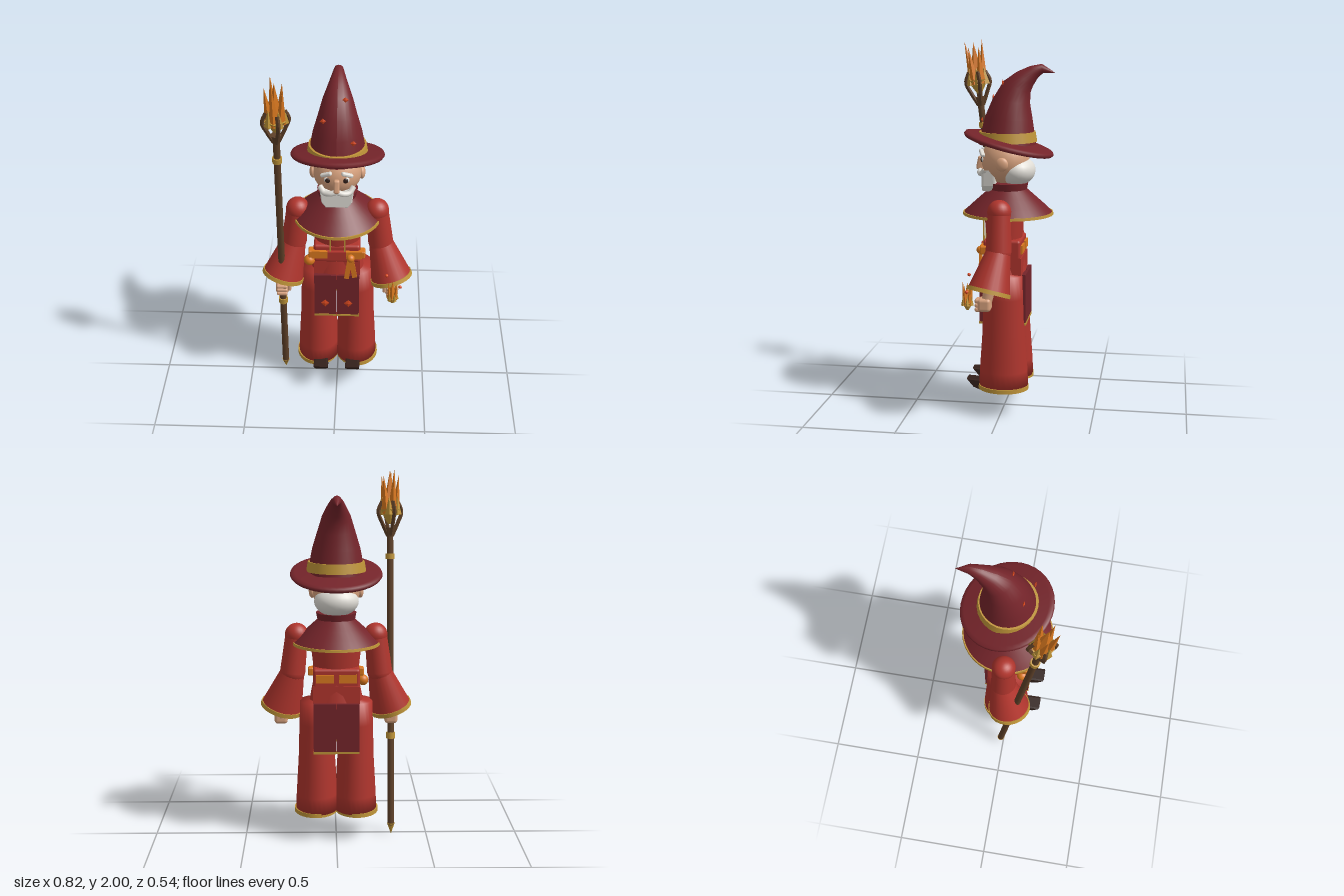
import * as THREE from 'three';
import { RoundedBoxGeometry } from 'three/addons/geometries/RoundedBoxGeometry.js';

const mat = (name, color, extra = {}) => new THREE.MeshStandardMaterial({ name, color, ...extra });
const V = (x, y, z) => new THREE.Vector3(x, y, z);

export function createModel() {
  const red = mat('robe red', 0xb0352d);
  const dark = mat('dark red', 0x74242a, { side: THREE.DoubleSide });
  const gold = mat('gold', 0xbf9438);
  const orange = mat('orange', 0xd9781f);
  const skin = mat('skin', 0xd8a27e);
  const white = mat('white hair', 0xe0ddd6);
  const wood = mat('wood', 0x5e4028);
  const boot = mat('boot brown', 0x32201a);
  const gem = mat('ember', 0xd8481f);

  const root = new THREE.Group();
  const add = (name, geo, m, pos = [0, 0, 0], rot = [0, 0, 0], scale = [1, 1, 1], parent = root) => {
    const mesh = new THREE.Mesh(geo, m);
    mesh.name = name;
    mesh.position.set(...pos);
    mesh.rotation.set(...rot);
    mesh.scale.set(...scale);
    parent.add(mesh);
    return mesh;
  };
  const box = (w, h, d) => new THREE.BoxGeometry(w, h, d);
  const cyl = (a, b, h, n = 24) => new THREE.CylinderGeometry(a, b, h, n);
  const ball = (r) => new THREE.SphereGeometry(r, 24, 16);
  const lathe = (pts, n = 32) => new THREE.LatheGeometry(pts.map(p => new THREE.Vector2(...p)), n);
  const tube = (pts, r, n = 6) => new THREE.TubeGeometry(new THREE.CatmullRomCurve3(pts), 12, r, n);
  const facet = (geo) => { const g = geo.toNonIndexed(); g.computeVertexNormals(); return g; };
  // Tapered limb from p down to q
  const limb = (name, p, q, r1, r2, m) => {
    const mesh = add(name, cyl(r1, r2, p.distanceTo(q)), m);
    mesh.position.copy(p).add(q).multiplyScalar(0.5);
    mesh.quaternion.setFromUnitVectors(V(0, 1, 0), p.clone().sub(q).normalize());
    return mesh;
  };

  // Hat crown: rings of [y, z, radius, backward lean], tip first
  const rings = [[1.84, -0.265, 0.001, 2], [1.862, -0.2, 0.024, 1.45], [1.843, -0.155, 0.037, 1.0],
    [1.808, -0.108, 0.056, 0.7], [1.765, -0.066, 0.077, 0.4], [1.69, -0.036, 0.1, 0.12],
    [1.6, -0.022, 0.127, 0.04], [1.465, -0.015, 0.153, 0]];
  const crown = new THREE.CylinderGeometry(1, 1, 1, 28, rings.length - 1, true);
  const cp = crown.attributes.position;
  for (let i = 0; i < cp.count; i++) {
    const [y, z, r, a] = rings[Math.floor(i / 29)];
    const s = cp.getX(i), c = cp.getZ(i);
    cp.setXYZ(i, r * s, y + r * c * Math.sin(a), z + r * c * Math.cos(a));
  }
  crown.computeVertexNormals();
  add('hatCrown', crown, dark);
  add('hatBrim', lathe([[0.1, -0.008], [0.22, -0.02], [0.238, -0.018], [0.245, -0.008], [0.24, 0.003],
    [0.22, 0.008], [0.12, 0.02]], 40), dark, [0, 1.473, -0.025], [-0.25, 0, 0]);
  add('hatBand', cyl(0.15, 0.159, 0.052, 28), gold, [0, 1.506, -0.015]);
  for (const [x, y, z] of [[0.04, 1.79, 0.003], [-0.07, 1.705, 0.072], [0.083, 1.6, 0.106]])
    add('hatGem', new THREE.OctahedronGeometry(0.016), gem, [x, y, z], [0, 0, 0], [1, 1, 0.35]);

  // Head
  add('head', ball(0.128), skin, [0, 1.38, -0.005], [0, 0, 0], [1, 1, 1]);
  add('backHair', ball(1), white, [0, 1.325, -0.066], [0, 0, 0], [0.118, 0.08, 0.1]);
  add('nose', new RoundedBoxGeometry(0.032, 0.075, 0.04, 2, 0.012), skin, [0, 1.36, 0.128], [-0.2, 0, 0]);
  const beard = new THREE.Shape();
  [[-0.085, 1.325], [-0.075, 1.25], [-0.055, 1.222], [0.055, 1.222], [0.075, 1.25], [0.085, 1.325], [0, 1.30]]
    .forEach(([x, y], i) => (i ? beard.lineTo(x, y) : beard.moveTo(x, y)));
  add('beard', new THREE.ExtrudeGeometry(beard, { depth: 0.05, bevelSize: 0.006, bevelThickness: 0.012, bevelSegments: 2 }),
    white, [0, 0, 0.05]);
  for (const s of [-1, 1]) {
    add('ear', ball(1), skin, [s * 0.128, 1.37, -0.005], [0, 0, 0], [0.018, 0.036, 0.034]);
    add('eye', ball(0.017), white, [s * 0.046, 1.386, 0.106], [0, 0, 0], [1.2, 1, 0.6]);
    add('pupil', ball(0.014), boot, [s * 0.045, 1.385, 0.114], [0, 0, 0], [1, 1, 0.5]);
    add('eyebrow', new RoundedBoxGeometry(0.065, 0.02, 0.024, 2, 0.008), white, [s * 0.054, 1.42, 0.112], [0, s * 0.35, -s * 0.4]);
    add('moustache', tube([V(0, 1.325, 0.128), V(s * 0.035, 1.314, 0.128), V(s * 0.065, 1.312, 0.112), V(s * 0.088, 1.338, 0.09)], 0.015, 8), white);
  }

  // Collar and shoulder cape
  add('collar', cyl(0.108, 0.098, 0.05, 28), dark, [0, 1.235, -0.02]);
  add('cape', lathe([[0.236, 1.1], [0.2, 1.135], [0.15, 1.18], [0.1, 1.225]], 36), dark, [0, 0, -0.02], [0, 0, 0], [0.98, 1, 1.01]);
  add('capeTrim', cyl(0.239, 0.241, 0.014, 36), gold, [0, 1.096, -0.02], [0, 0, 0], [0.98, 1, 1.01]);

  // Torso and belt
  add('torso', cyl(0.14, 0.115, 0.22), red, [0, 1.0, 0], [0, 0, 0], [1, 1, 0.78]);
  add('waist', new RoundedBoxGeometry(0.25, 0.11, 0.2, 2, 0.015), red, [0, 0.91, -0.003]);
  add('hips', cyl(0.125, 0.15, 0.13), red, [0, 0.815, -0.005], [0, 0, 0], [1, 1, 0.78]);
  add('hipBox', box(0.25, 0.1, 0.2), red, [0, 0.82, -0.008]);
  add('buckle', box(0.1, 0.05, 0.02), red, [0, 0.912, 0.108]);
  add('coatTrim', box(0.008, 0.19, 0.008), gold, [-0.035, 0.998, 0.106]);
  add('coatTrim', box(0.008, 0.19, 0.008), gold, [0.042, 0.998, 0.106]);
  for (const s of [-1, 1]) {
    add('beltFront', box(0.085, 0.045, 0.024), orange, [s * 0.092, 0.913, 0.1]);
    add('beltEnd', new RoundedBoxGeometry(0.03, 0.045, 0.05, 2, 0.008), orange, [s * 0.138, 0.913, 0.085]);
    add('beltBack', box(0.095, 0.045, 0.016), orange, [s * 0.062, 0.913, -0.105]);
  }
  add('pouch', ball(0.03), orange, [-0.148, 0.862, 0.085]);
  add('sashTail', box(0.026, 0.13, 0.012), orange, [0.062, 0.832, 0.119], [0, 0, -0.14]);
  add('sashTail', box(0.026, 0.12, 0.012), orange, [0.088, 0.835, 0.118], [0, 0, 0.16]);
  add('sashKnot', ball(0.022), orange, [0.075, 0.9, 0.118]);

  // Tabard, front and back, in two panels each
  for (const [z, f] of [[0.107, 1], [-0.122, -1]]) for (const s of [-1, 1]) {
    add('tabardPanel', box(0.121, 0.265, 0.02), dark, [s * 0.062, 0.648, z]);
    add('tabardTrim', box(0.123, 0.012, 0.024), gold, [s * 0.062, 0.51, z]);
    if (f > 0) add('tabardGem', new THREE.OctahedronGeometry(0.024), gem, [s * 0.064, 0.592, z + 0.01], [0, 0, 0], [1, 1, 0.2]);
  }

  // Robe legs and boots
  const bootShape = new THREE.Shape();
  bootShape.moveTo(-0.04, 0.122);
  bootShape.lineTo(0.09, 0.122);
  bootShape.lineTo(0.15, 0.145);
  bootShape.lineTo(0.185, 0.185);
  bootShape.lineTo(0.1, 0.18);
  bootShape.lineTo(-0.04, 0.17);
  const bootGeo = new THREE.ExtrudeGeometry(bootShape, { depth: 0.06, bevelSize: 0.004, bevelThickness: 0.01, bevelSegments: 1 });
  bootGeo.translate(0, 0, -0.03);
  for (const s of [-1, 1]) {
    add('robeLeg', lathe([[0, 0.16], [0.116, 0.16], [0.112, 0.25], [0.1, 0.45], [0.094, 0.65], [0.09, 0.775], [0, 0.785]], 28), red,
      [s * 0.112, 0, -0.012], [0, 0, 0], [1, 1, 1.16]).position.x = s * 0.106;
    add('robeHem', cyl(0.117, 0.118, 0.022, 28), gold, [s * 0.112, 0.157, -0.012], [0, 0, 0], [1, 1, 1.16]);
    add('boot', bootGeo, boot, [s * 0.09, 0, 0], [0, -Math.PI / 2, 0]);
  }

  // Arms with flared sleeves
  for (const s of [-1, 1]) {
    const shoulder = V(s * 0.212, 1.135, -0.005), elbow = V(s * 0.235, 0.93, -0.005);
    const wrist = V(s * 0.296, 0.73, 0.036);
    add('shoulder', ball(0.063), red, shoulder.toArray());
    limb('upperSleeve', shoulder, elbow, 0.06, 0.068, red);
    add('elbow', ball(0.067), red, elbow.toArray());
    limb('lowerSleeve', elbow, wrist, 0.064, 0.112, red);
    const dir = wrist.clone().sub(elbow).normalize();
    limb('cuffTrim', wrist.clone().addScaledVector(dir, -0.008), wrist.clone().addScaledVector(dir, 0.014), 0.115, 0.117, gold);
    limb('wrist', wrist, V(s * 0.3, 0.665, 0.05), 0.03, 0.028, skin);
    add('hand', new RoundedBoxGeometry(0.072, 0.07, 0.07, 3, 0.018), skin, [s * 0.302, 0.662, 0.058]);
    for (let i = 0; i < 3; i++)
      add('finger', new RoundedBoxGeometry(0.06, 0.022, 0.03, 2, 0.009), skin, [s * 0.302, 0.683 - i * 0.023, 0.092]);
    add('thumb', new RoundedBoxGeometry(0.02, 0.045, 0.03, 2, 0.008), skin, [s * 0.262, 0.67, 0.075]);
  }

  // Faceted flame: gold crystal base with pointed shards around it
  const flame = (parent, k, y) => {
    const g = new THREE.Group();
    g.name = 'flame';
    g.position.y = y;
    g.scale.setScalar(k);
    parent.add(g);
    add('flameBase', facet(new THREE.CylinderGeometry(0.055, 0.012, 0.07, 6)), gold, [0, 0.035, 0], [0, 0, 0], [1, 1, 1], g);
    add('flameCore', facet(new THREE.ConeGeometry(0.04, 0.2, 5)), orange, [0, 0.16, 0], [0, 0, 0], [1, 1, 1], g);
    for (let i = 0; i < 5; i++) {
      const a = i * Math.PI * 0.4 + 0.5, c = Math.cos(a), s = Math.sin(a), h = i % 2 ? 0.22 : 0.19;
      add('flameShard', facet(new THREE.ConeGeometry(0.025, h, 4)), orange, [c * 0.036, 0.05 + h / 2, s * 0.036], [s * 0.1, 0, -c * 0.1], [1, 1, 1], g);
      add('flameLeaf', facet(new THREE.ConeGeometry(0.022, 0.09, 4)), gold, [Math.cos(a + 0.6) * 0.04, 0.09, Math.sin(a + 0.6) * 0.04], [0, 0, 0], [1, 1, 1], g);
    }
    return g;
  };

  // Staff, leaning forward
  const staff = new THREE.Group();
  staff.name = 'staff';
  staff.position.set(-0.305, 0.005, -0.022);
  staff.rotation.set(0.122, 0, -0.006);
  root.add(staff);
  const part = (name, geo, m, y, rot = [0, 0, 0]) => add(name, geo, m, [0, y, 0], rot, [1, 1, 1], staff);
  part('staffShaft', cyl(0.018, 0.019, 1.62, 10), wood, 0.86);
  part('staffTip', new THREE.ConeGeometry(0.022, 0.06, 8), gold, 0.03, [Math.PI, 0, 0]);
  part('staffRing', cyl(0.025, 0.025, 0.034, 12), gold, 0.555);
  part('staffRing', cyl(0.025, 0.025, 0.03, 12), gold, 1.54);
  part('staffNeck', cyl(0.028, 0.018, 0.05, 8), wood, 1.67);
  for (let i = 0; i < 4; i++)
    part('staffProng', facet(tube([V(0.012, 1.65, 0), V(0.045, 1.72, 0), V(0.067, 1.78, 0), V(0.045, 1.835, 0)], 0.011, 4)), wood, 0,
      [0, i * Math.PI / 2 + 0.3, 0]);
  flame(staff, 1.08, 1.715);

  // Flame and sparks by the left hand
  const handFlame = flame(root, 0.56, 0.63);
  handFlame.position.set(0.305, 0.63, 0.148);
  for (const [x, y] of [[0.27, 0.81], [0.345, 0.735]]) add('spark', ball(0.009), gem, [x, y, 0.145]);

  return root;
}
